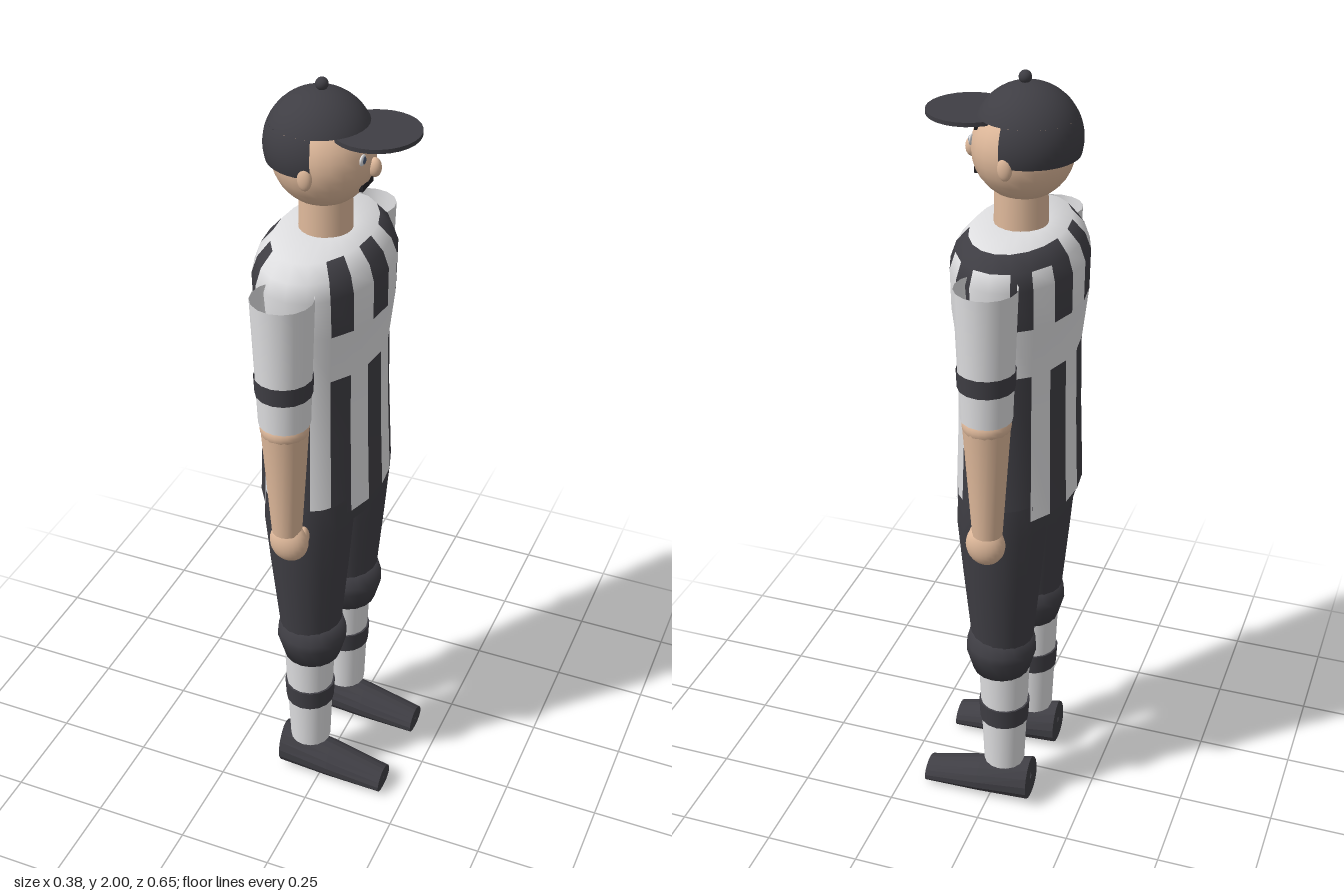
import * as THREE from 'three';

const mat = (name, color, side = THREE.FrontSide) => {
  const m = new THREE.MeshStandardMaterial({ color, side });
  m.name = name;
  return m;
};

export function createModel() {
  const white = mat('white cloth', 0xdedee0, THREE.DoubleSide);
  const dark = mat('charcoal cloth', 0x3f3e44, THREE.DoubleSide);
  const skin = mat('skin', 0xdfb99b);
  const blue = mat('iris', 0x4a5870);
  const black = mat('black', 0x222024);

  const root = new THREE.Group();
  root.name = 'figure';
  const CX = -0.035;

  const add = (name, geo, material, x = 0, y = 0, z = 0, parent = root) => {
    const m = new THREE.Mesh(geo, material);
    m.name = name;
    m.position.set(x, y, z);
    parent.add(m);
    return m;
  };
  const ball = (name, r, material, x, y, z, sx = 1, sy = 1, sz = 1, parent = root) => {
    const m = add(name, new THREE.SphereGeometry(r, 24, 16), material, x, y, z, parent);
    m.scale.set(sx, sy, sz);
    return m;
  };
  // Tapered tube between two heights
  const tube = (name, y0, y1, r0, r1, material, x, z, parent, open = false, sides = 16) =>
    add(name, new THREE.CylinderGeometry(r1, r0, y1 - y0, sides, 1, open), material, x, (y0 + y1) / 2, z, parent);
  const turned = (name, pts, material, x, z, parent) =>
    add(name, new THREE.LatheGeometry(pts.map(p => new THREE.Vector2(p[0], p[1])), 18), material, x, 0, z, parent);

  // Closed loops of [x, y, z] joined into a skin; cell(i, j) picks the material index
  const loft = (loops, cell) => {
    const n = loops[0].length, idx = [[], []];
    for (let j = 0; j < loops.length - 1; j++) {
      for (let i = 0; i < n; i++) {
        const k = (i + 1) % n, a = j * n + i, b = j * n + k;
        idx[cell(i, j)].push(a, a + n, b + n, a, b + n, b);
      }
    }
    const g = new THREE.BufferGeometry();
    g.setAttribute('position', new THREE.Float32BufferAttribute(loops.flat(2), 3));
    g.setIndex([...idx[0], ...idx[1]]);
    g.addGroup(0, idx[0].length, 0);
    g.addGroup(idx[0].length, idx[1].length, 1);
    g.computeVertexNormals();
    return g;
  };

  // Striped shirt: rings of [y, x radius, z radius], stripes follow the 20 segments
  const SEG = 20;
  const rings = [
    [0.94, 0.15, 0.23], [1.16, 0.143, 0.217], [1.33, 0.141, 0.212], [1.46, 0.156, 0.23],
    [1.56, 0.157, 0.238], [1.6, 0.143, 0.222], [1.635, 0.112, 0.19], [1.64, 0.06, 0.065],
  ];
  const lower = [0, 2, 4, 5, 7, 9, 11, 13, 14, 16, 18];
  const upper = [0, 2, 7, 9, 11, 13, 16, 18];
  const isDark = (i, j) => {
    if (j < 2) return lower.includes(i) || (j === 1 && i === 6);
    if (j === 2 || j === 6) return false;
    return upper.includes(i) || (j === 5 && i >= 12 && i <= 17);
  };
  const loops = rings.map(([y, rx, rz]) => Array.from({ length: SEG }, (_, i) => {
    const a = (i / SEG) * Math.PI * 2;
    return [CX + rx * Math.cos(a), y, rz * Math.sin(a)];
  }));
  add('shirt', loft(loops, (i, j) => (isDark(i, j) ? 1 : 0)), [white, dark]);

  // Hips
  const hips = tube('hips', 0.893, 0.96, 1, 1, dark, CX, 0, root, false, 20);
  hips.scale.set(0.135, 1, 0.205);

  for (const s of [1, -1]) {
    // Leg
    const leg = new THREE.Group();
    leg.name = s > 0 ? 'rightLeg' : 'leftLeg';
    root.add(leg);
    const z = 0.125 * s;
    turned('trouserLeg', [[0.08, 0.54], [0.1, 0.75], [0.113, 0.9], [0.11, 0.98]], dark, CX + 0.005, z, leg);
    turned('kneeCuff', [[0, 0.44], [0.074, 0.44], [0.091, 0.5], [0.09, 0.52], [0.078, 0.565], [0, 0.565]],
      dark, -0.027, z, leg);
    tube('sock', 0.13, 0.46, 0.054, 0.067, white, CX, z, leg);
    tube('sockBand', 0.275, 0.332, 0.064, 0.067, dark, CX, z, leg);

    // Shoe: ellipses from heel to toe, [x, low y, high y, half width]
    const shoe = [
      [-0.11, 0.07, 0.09, 0.005], [-0.11, 0.015, 0.14, 0.052], [0.03, 0.011, 0.108, 0.053],
      [0.182, 0.005, 0.068, 0.044], [0.182, 0.034, 0.038, 0.004],
    ].map(([x, lo, hi, w]) => Array.from({ length: 16 }, (_, i) => {
      const a = (i / 16) * Math.PI * 2, up = Math.sin(a);
      return [x, (lo + hi) / 2 + up * (hi - lo) / 2, z + w * Math.cos(a) * (1 - 0.2 * up)];
    }));
    const shoeGeo = loft(shoe, () => 1).toNonIndexed();
    shoeGeo.computeVertexNormals();
    add('shoe', shoeGeo, [white, dark], 0, 0, 0, leg);

    // Arm
    const arm = new THREE.Group();
    arm.name = s > 0 ? 'rightArm' : 'leftArm';
    root.add(arm);
    const az = 0.252 * s;
    tube('sleeve', 1.25, 1.58, 0.062, 0.074, white, CX, az, arm, true);
    tube('sleeveBand', 1.333, 1.38, 0.068, 0.07, dark, CX, az, arm, true);
    ball('elbow', 0.059, skin, CX, 1.235, az, 1, 0.75, 1, arm);
    tube('forearm', 0.93, 1.24, 0.037, 0.058, skin, CX, az, arm);
    ball('hand', 0.055, skin, -0.03, 0.897, az, 0.9, 1, 0.66, arm);
    ball('thumb', 0.018, skin, 0.002, 0.91, az - 0.015 * s, 0.8, 1.5, 0.9, arm);
  }

  // Neck and head
  tube('neck', 1.6, 1.75, 0.065, 0.062, skin, CX, 0, root, false, 20);
  const head = new THREE.Group();
  head.name = 'head';
  root.add(head);
  ball('skull', 0.121, skin, -0.04, 1.822, 0, 1, 1, 0.99, head);
  ball('nose', 0.018, skin, 0.084, 1.808, 0, 0.9, 1.3, 0.8, head);
  add('mouth', new THREE.BoxGeometry(0.009, 0.016, 0.064), black, 0.064, 1.765, 0, head);
  for (const s of [1, -1]) {
    ball('ear', 0.022, skin, CX, 1.81, 0.12 * s, 0.8, 1.3, 0.5, head);
    ball('eye', 0.017, white, 0.071, 1.84, 0.04 * s, 0.3, 0.75, 1, head);
    ball('iris', 0.009, blue, 0.075, 1.84, 0.04 * s, 0.3, 1, 1, head);
    const brow = add('eyebrow', new THREE.BoxGeometry(0.009, 0.011, 0.048), black, 0.061, 1.877, 0.04 * s, head);
    brow.rotation.y = -0.4 * s;
  }

  // Cap: full crown, lower shell around the back, peak and button
  const cap = new THREE.Group();
  cap.name = 'cap';
  root.add(cap);
  const R = 0.128, capY = 1.846, split = 1.13;
  add('crown', new THREE.SphereGeometry(R, 32, 12, 0, Math.PI * 2, 0, split), dark, -0.05, capY, 0, cap);
  add('capBack', new THREE.SphereGeometry(R, 24, 8, -1.8, 3.6, split, 1.85 - split), dark, -0.05, capY, 0, cap);
  const peak = tube('peak', 1.89, 1.9, 1, 1, dark, 0.088, 0, cap, false, 28);
  peak.scale.set(0.102, 1, 0.106);
  ball('button', 0.015, dark, -0.043, 1.985, 0, 1, 1, 1, cap);

  return root;
}
